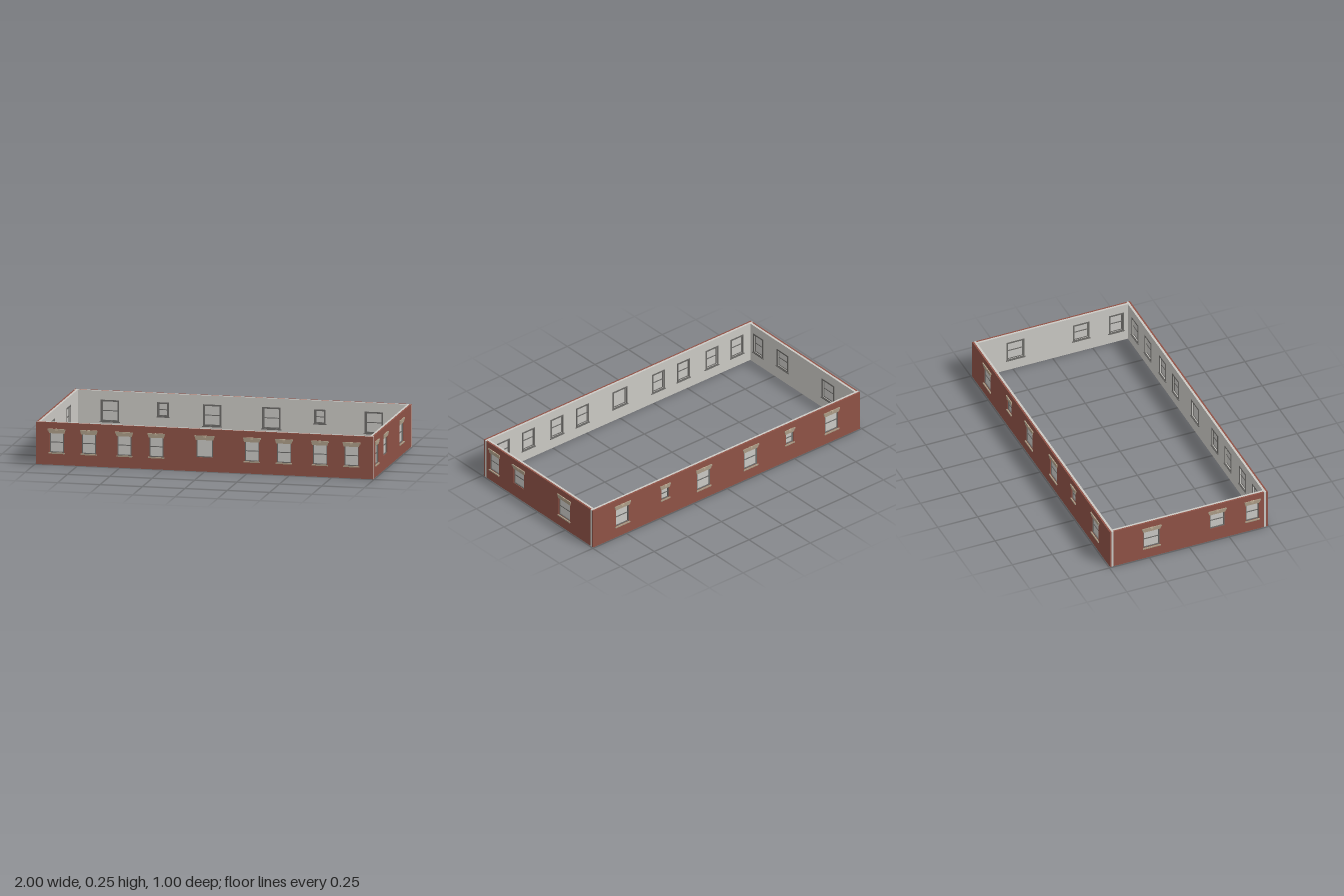
import * as THREE from 'three';

const mat = (name, color) => {
  const m = new THREE.MeshStandardMaterial({ color });
  m.name = name;
  return m;
};

const BRICK = 0.01, PLASTER = 0.013, HEIGHT = 0.248, HEAD = 0.19;

export function createModel() {
  const brick = mat('brick red', 0x8f5246);
  const plaster = mat('plaster', 0xcbc9c4);
  const stone = mat('lintel stone', 0xab9c86);
  const keyStone = mat('pale stone', 0xbcab93);
  const frame = mat('frame grey', 0x6c6b68);
  const pane = mat('window pane', 0xc9c8c4);

  const model = new THREE.Group();
  model.name = 'storeyWalls';

  const box = (parent, name, material, w, h, d, x, y, z) => {
    const mesh = new THREE.Mesh(new THREE.BoxGeometry(w, h, d), material);
    mesh.name = name;
    mesh.position.set(x, y, z);
    parent.add(mesh);
  };

  // One wall layer, pierced by its window openings
  const layer = (parent, name, material, length, windows, zBack, depth) => {
    const l = length / 2;
    const shape = new THREE.Shape([[-l, 0], [l, 0], [l, HEIGHT], [-l, HEIGHT]]
      .map(p => new THREE.Vector2(...p)));
    for (const { x, w, b } of windows) {
      shape.holes.push(new THREE.Path([[x - w / 2, b], [x - w / 2, HEAD], [x + w / 2, HEAD], [x + w / 2, b]]
        .map(p => new THREE.Vector2(...p))));
    }
    const geo = new THREE.ExtrudeGeometry(shape, { depth, bevelEnabled: false });
    geo.translate(0, 0, zBack);
    const mesh = new THREE.Mesh(geo, material);
    mesh.name = name;
    parent.add(mesh);
  };

  // Rectangular border of four bars
  const border = (parent, name, w, bottom, top, bar, depth, z) => {
    const mid = (bottom + top) / 2;
    for (const s of [-1, 1]) {
      box(parent, name, frame, bar, top - bottom, depth, s * (w - bar) / 2, mid, z);
      box(parent, name, frame, w - 2 * bar, bar, depth, 0, mid + s * (top - bottom - bar) / 2, z);
    }
  };

  // Sash window; z = 0 is the outer brick face, +z points outside
  const addWindow = (wall, { x, w, b, rail, sill }) => {
    const g = new THREE.Group();
    g.name = 'sashWindow';
    g.position.x = x;
    wall.add(g);
    const inner = -BRICK - PLASTER;
    box(g, 'pane', pane, w, HEAD - b, 0.003, 0, (b + HEAD) / 2, -0.012);
    border(g, 'outerFrame', w, b, HEAD, 0.005, 0.012, -0.010);
    border(g, 'innerCasing', w + 0.012, b - 0.006, HEAD + 0.006, 0.009, 0.003, inner - 0.001);
    if (rail) box(g, 'meetingRail', frame, w, 0.005, 0.010, 0, rail, -0.012);

    // Stone head: lower band, crown and keystone
    box(g, 'lintelBand', stone, w + 0.008, 0.008, 0.004, 0, 0.189, 0.001);
    box(g, 'lintel', stone, w + 0.013, 0.010, 0.005, 0, 0.197, 0.0015);
    box(g, 'lintelCrown', stone, w + 0.021, 0.009, 0.007, 0, 0.2065, 0.0025);
    box(g, 'keystone', keyStone, 0.016, 0.012, 0.007, 0, 0.206, 0.0032);

    if (sill) box(g, 'sill', stone, w + 0.012, 0.007, 0.007, 0, b - 0.003, 0.0025);
    box(g, 'innerSill', frame, w + 0.022, 0.005, 0.007, 0, b - 0.005, inner - 0.002);
  };

  const wall = (name, length, innerLength, windows, angle, distance) => {
    const g = new THREE.Group();
    g.name = name;
    layer(g, 'brickSkin', brick, length, windows, -BRICK, BRICK);
    layer(g, 'plasterLining', plaster, innerLength, windows, -BRICK - PLASTER, PLASTER);
    windows.forEach(v => addWindow(g, v));
    g.rotation.y = angle;
    g.position.set(Math.sin(angle) * distance, 0, Math.cos(angle) * distance);
    model.add(g);
  };

  const tall = (x, w = 0.083) => ({ x, w, b: 0.072, rail: 0.132, sill: true });
  const short = x => ({ x, w: 0.092, b: 0.085, rail: 0.14, sill: false });
  const small = x => ({ x, w: 0.056, b: 0.115, rail: 0.152, sill: true });

  // Front: four windows either side of a single-pane one
  const front = [-0.872, -0.683, -0.474, -0.285, 0.279, 0.468, 0.68, 0.866].map(x => tall(x));
  front.push({ x: 0, w: 0.097, b: 0.083, rail: 0, sill: false });
  wall('frontWall', 1.987, 1.987, front, 0, 0.494);

  // Back: wide windows with two small ones
  const back = [-0.775, -0.171, 0.179, 0.781].map(x => tall(x, 0.097)).concat([-0.457, 0.468].map(small));
  wall('backWall', 1.987, 1.987, back, Math.PI, 0.494);

  // End walls fit between the long walls
  const ends = s => [tall(-0.398 * s, 0.08), short(-0.178 * s), tall(0.233 * s, 0.1)];
  wall('leftWall', 0.942, 0.942, ends(1), Math.PI / 2, 0.9935);
  wall('rightWall', 0.942, 0.942, ends(-1), -Math.PI / 2, 0.9935);

  return model;
}
